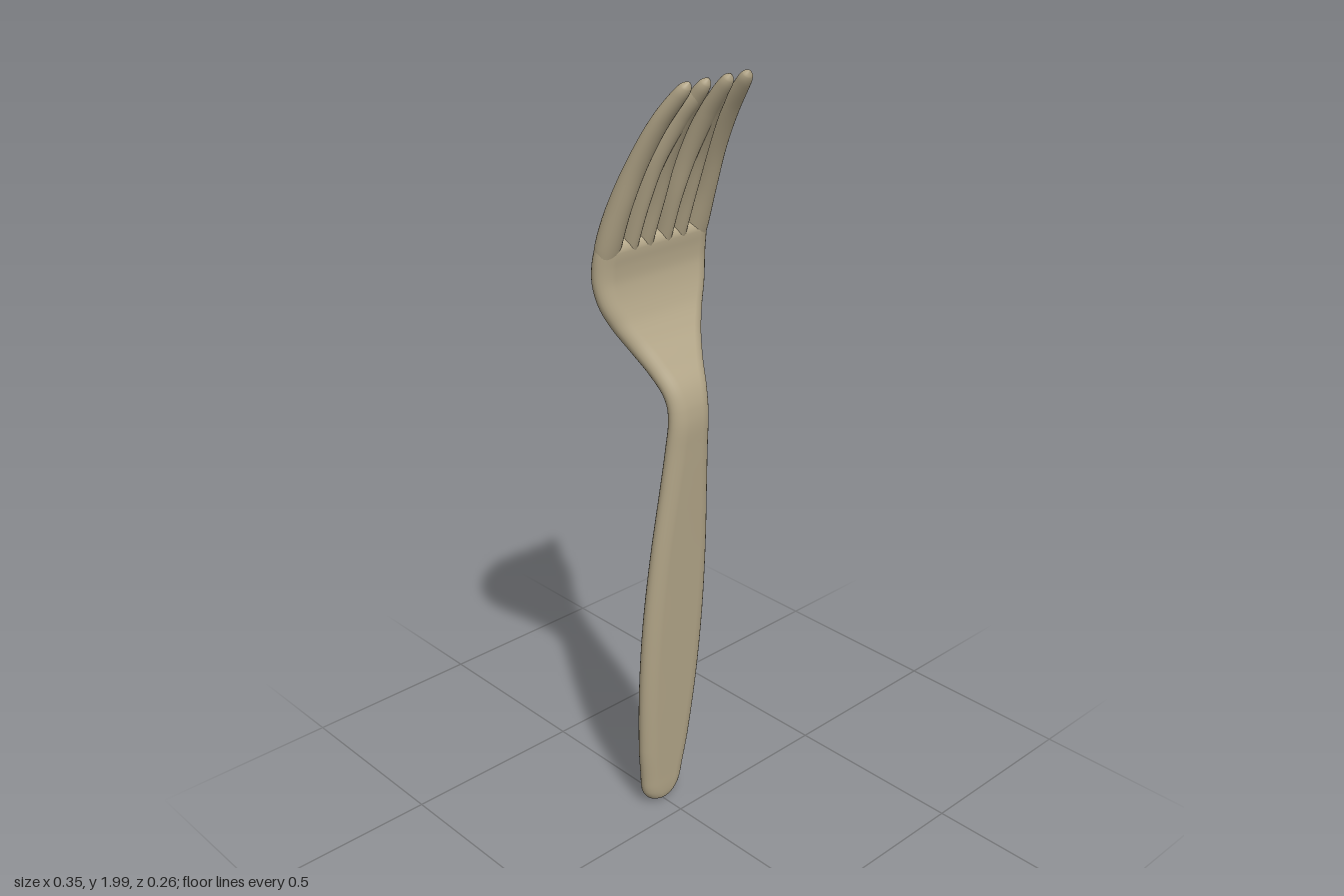
import * as THREE from 'three';

// Smooth interpolation of column c in a table of rows sorted by their first value
function sample(rows, c, y) {
  const n = rows.length;
  let i = 0;
  while (i < n - 2 && y > rows[i + 1][0]) i++;
  const slope = (k) => {
    const a = rows[Math.max(k - 1, 0)], b = rows[Math.min(k + 1, n - 1)];
    return (b[c] - a[c]) / (b[0] - a[0]);
  };
  const p = rows[i], q = rows[i + 1], h = q[0] - p[0];
  const t = THREE.MathUtils.clamp((y - p[0]) / h, 0, 1), t2 = t * t, t3 = t2 * t;
  return (2 * t3 - 3 * t2 + 1) * p[c] + (t3 - 2 * t2 + t) * h * slope(i)
    + (3 * t2 - 2 * t3) * q[c] + (t3 - t2) * h * slope(i + 1);
}

// Side profile of the whole fork: [y, z]
const spine = [
  [0, -0.086], [0.3, -0.058], [0.6, -0.03], [0.9, 0], [1.1, 0.02], [1.18, 0.026],
  [1.24, 0.014], [1.3, -0.02], [1.36, -0.057], [1.42, -0.086], [1.5, -0.106],
  [1.56, -0.104], [1.62, -0.088], [1.7, -0.058], [1.8, -0.012], [1.9, 0.047], [2, 0.126],
];

// Loft flattened rings along the spine; rows are [y, centre x, half width, half thickness]
function loft(rows, steps, edge) {
  const ring = 28, pos = [], index = [];
  const ys = [];
  for (let i = 0; i < rows.length - 1; i++) {
    for (let s = 0; s < steps; s++) ys.push(THREE.MathUtils.lerp(rows[i][0], rows[i + 1][0], s / steps));
  }
  ys.push(rows[rows.length - 1][0]);
  ys.forEach((y, i) => {
    const z = sample(spine, 1, y);
    const angle = Math.atan2(sample(spine, 1, y + 0.01) - sample(spine, 1, y - 0.01), 0.02);
    const x = sample(rows, 1, y);
    const w = Math.max(sample(rows, 2, y), 0.001), t = Math.max(sample(rows, 3, y), 0.001);
    const r = Math.min(w, t * edge);
    for (let j = 0; j < ring; j++) {
      const a = ((j + 0.5) / ring) * Math.PI * 2;
      const d = Math.sin(a) * t;
      pos.push(x + Math.sign(Math.cos(a)) * (w - r) + Math.cos(a) * r,
        y - Math.sin(angle) * d, z + Math.cos(angle) * d);
      if (i < ys.length - 1) {
        const p = i * ring + j, q = i * ring + (j + 1) % ring;
        index.push(p, p + ring, q, q, p + ring, q + ring);
      }
    }
  });
  const geo = new THREE.BufferGeometry();
  geo.setAttribute('position', new THREE.Float32BufferAttribute(pos, 3));
  geo.setIndex(index);
  geo.computeVertexNormals();
  return geo;
}

export function createModel() {
  const fork = new THREE.Group();
  fork.name = 'fork';
  const tan = new THREE.MeshStandardMaterial({ color: 0xb5a88a });
  tan.name = 'tan';
  const add = (name, geo) => {
    const mesh = new THREE.Mesh(geo, tan);
    mesh.name = name;
    fork.add(mesh);
  };

  // Handle, neck and head in one sweep
  add('handleAndHead', loft([
    [0.004, 0, 0.002, 0.002], [0.01, 0, 0.025, 0.017], [0.022, 0, 0.045, 0.025], [0.05, 0, 0.062, 0.028],
    [0.1, 0, 0.07, 0.028], [0.2, 0, 0.083, 0.028], [0.4, 0, 0.096, 0.028], [0.6, 0, 0.098, 0.028],
    [0.8, 0, 0.089, 0.027], [1, 0, 0.072, 0.027], [1.1, 0, 0.064, 0.027], [1.2, 0, 0.06, 0.026],
    [1.25, 0, 0.067, 0.026], [1.3, 0, 0.085, 0.026], [1.35, 0, 0.11, 0.027], [1.4, 0, 0.138, 0.028],
    [1.45, 0, 0.161, 0.029], [1.5, 0, 0.172, 0.03], [1.55, 0, 0.174, 0.03], [1.59, 0, 0.171, 0.027],
    [1.605, 0, 0.166, 0.018], [1.612, 0, 0.16, 0.002],
  ], 5, 1.6));

  // Each side: an outer tine, and an inner tine whose root is split by a narrow slot
  const tines = {
    outerTine: [
      [1.54, 0.138, 0.03, 0.02], [1.6, 0.138, 0.033, 0.028], [1.7, 0.1325, 0.0285, 0.028],
      [1.8, 0.121, 0.0265, 0.023], [1.9, 0.107, 0.0235, 0.02], [1.96, 0.096, 0.019, 0.017],
      [1.982, 0.092, 0.014, 0.012], [1.993, 0.09, 0.001, 0.001],
    ],
    innerTine: [
      [1.54, 0.029, 0.02, 0.02], [1.6, 0.029, 0.0205, 0.028], [1.7, 0.028, 0.021, 0.028],
      [1.8, 0.033, 0.022, 0.023], [1.9, 0.037, 0.022, 0.02], [1.96, 0.035, 0.018, 0.017],
      [1.982, 0.034, 0.013, 0.012], [1.993, 0.033, 0.001, 0.001],
    ],
    innerTineBranch: [
      [1.54, 0.076, 0.018, 0.02], [1.6, 0.076, 0.0195, 0.028], [1.7, 0.0735, 0.0195, 0.028],
      [1.8, 0.066, 0.021, 0.023], [1.9, 0.047, 0.021, 0.02], [1.96, 0.036, 0.016, 0.015],
      [1.978, 0.034, 0.001, 0.001],
    ],
  };
  for (const [side, s] of [['left', 1], ['right', -1]]) {
    for (const [name, rows] of Object.entries(tines)) {
      add(`${side} ${name}`, loft(rows.map(([y, x, w, t]) => [y, x * s, w, t]), 5, 1.2));
    }
  }
  return fork;
}
